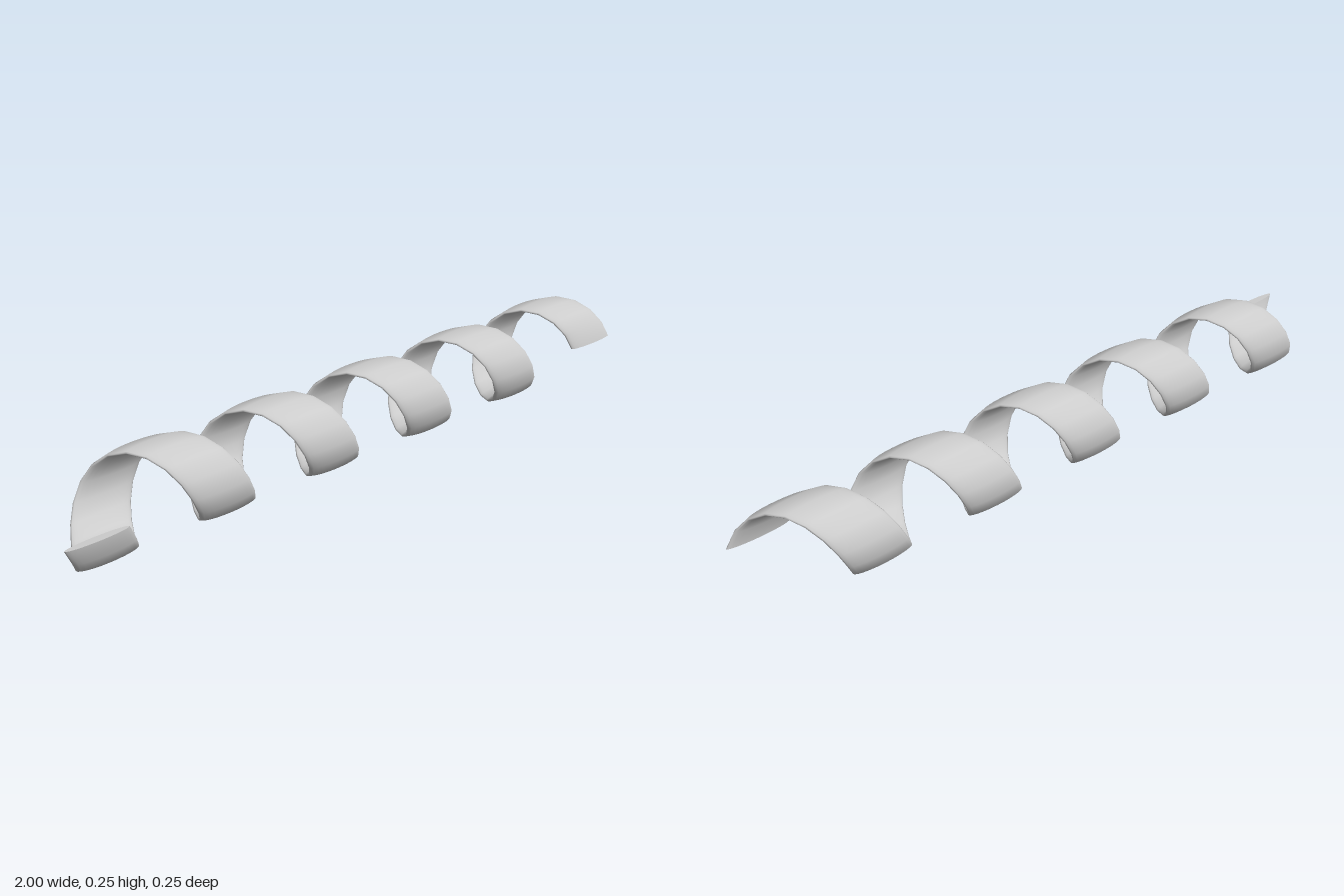
import * as THREE from 'three';

const TURNS = 5, STEPS = 15, SIDES = 24;      // 15 facets per turn
const RADIUS = 0.116, HALF_WIDTH = 0.09, HALF_THICK = 0.0122;
const START_X = -0.91, LENGTH = 1.82;
const CENTER_Y = 0.1278, CENTER_Z = -0.0014;

// Point on the flat elliptical section, swept along the helix about the x axis
function helixPoint(step, side, scale = 1) {
  const theta = (step / STEPS) * Math.PI * 2;
  const phi = (side / SIDES) * Math.PI * 2;
  const rho = RADIUS + scale * HALF_THICK * Math.sin(phi);
  return [
    START_X + LENGTH * step / (TURNS * STEPS) + scale * HALF_WIDTH * Math.cos(phi),
    CENTER_Y - rho * Math.sin(theta),
    CENTER_Z + rho * Math.cos(theta),
  ];
}

function build(positions, index) {
  const geometry = new THREE.BufferGeometry();
  geometry.setAttribute('position', new THREE.Float32BufferAttribute(positions, 3));
  geometry.setIndex(index);
  geometry.computeVertexNormals();
  return geometry;
}

// Smooth ribbon surface
function ribbonGeometry() {
  const positions = [], index = [], count = TURNS * STEPS;
  for (let i = 0; i <= count; i++) {
    for (let j = 0; j < SIDES; j++) {
      positions.push(...helixPoint(i, j));
      if (i === count) continue;
      const next = (j + 1) % SIDES;
      const a = i * SIDES + j, b = i * SIDES + next;
      index.push(a, b, a + SIDES, b, b + SIDES, a + SIDES);
    }
  }
  return build(positions, index);
}

// Flat elliptical end
function capGeometry(step, flip) {
  const positions = [...helixPoint(step, 0, 0)], index = [];
  for (let j = 0; j < SIDES; j++) {
    positions.push(...helixPoint(step, j));
    const a = 1 + j, b = 1 + (j + 1) % SIDES;
    index.push(0, flip ? b : a, flip ? a : b);
  }
  return build(positions, index);
}

export function createModel() {
  const group = new THREE.Group();
  group.name = 'spiral';
  const material = new THREE.MeshStandardMaterial({ color: 0xcccccc });
  const add = (name, geometry) => {
    const mesh = new THREE.Mesh(geometry, material);
    mesh.name = name;
    group.add(mesh);
  };
  add('spiralRibbon', ribbonGeometry());
  add('startCap', capGeometry(0, true));
  add('endCap', capGeometry(TURNS * STEPS, false));
  return group;
}
